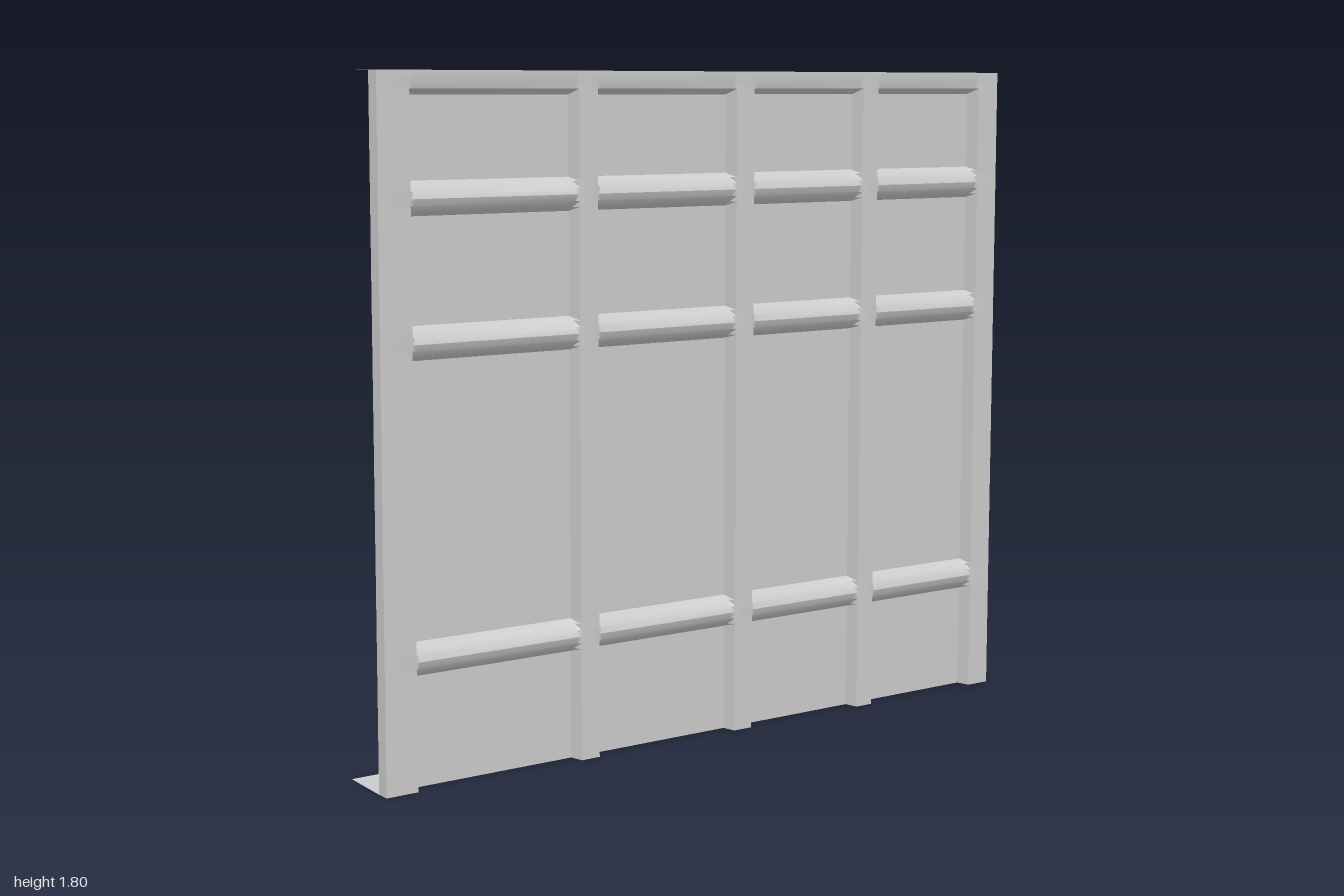
import * as THREE from 'three';
import { toCreasedNormals } from 'three/addons/utils/BufferGeometryUtils.js';

const H = 1.8, BACK = 0.056, FRONT = 0.094;

// Bars as [start, end] across x (posts) and y (rails)
const posts = [[-0.99, -0.89], [-0.43, -0.355], [0.06, 0.137], [0.487, 0.56], [0.908, 0.99]];
const rails = [[0.29, 0.378], [1.088, 1.175], [1.445, 1.532]];

// Profile lists of [position, raised fraction]
function postProfile() {
  const list = [];
  posts.forEach(([a, b], i) => {
    const left = i === 0 ? 0.002 : 0.01;
    const right = i === posts.length - 1 ? 0.002 : 0.01;
    list.push([a, 0], [a + left, 1], [b - right, 1], [b, 0]);
  });
  return list;
}

function railProfile() {
  const dome = [[0, 0], [0.12, 0.45], [0.3, 0.85], [0.5, 1], [0.7, 0.85], [0.88, 0.45], [1, 0]];
  const list = [[0, 0]];
  for (const [a, b] of rails) for (const [t, h] of dome) list.push([a + (b - a) * t, h]);
  list.push([1.74, 0], [1.755, 0.85], [1.775, 1], [H, 1]);
  return list;
}

// The wall leans out slightly toward its lower left corner
const lean = (x, y) => x - 0.01 * (1 - y / H) * (1 - x) / 2;

// One pressed sheet: raised posts and rails around recessed panels
function pressedSheet() {
  const xs = postProfile(), ys = railProfile();
  const pos = [], index = [], level = [];
  for (const [y, hy] of ys) {
    xs.forEach(([x, hx], i) => {
      const outer = i === 0 || i === xs.length - 1;
      const h = outer ? 0 : Math.max(hx, hy);
      level.push(h);
      pos.push(lean(x, y), y, BACK + (FRONT - BACK) * h);
    });
  }
  const n = xs.length;
  for (let j = 0; j < ys.length - 1; j++) {
    for (let i = 0; i < n - 1; i++) {
      const a = j * n + i, b = a + 1, c = b + n, d = a + n;
      // Crease each cell through its lowest corner so inner corners mitre
      if (Math.min(level[a], level[c]) <= Math.min(level[b], level[d])) index.push(a, b, c, a, c, d);
      else index.push(a, b, d, b, c, d);
    }
  }
  const geo = new THREE.BufferGeometry();
  geo.setAttribute('position', new THREE.Float32BufferAttribute(pos, 3));
  geo.setIndex(index);
  return toCreasedNormals(geo, 0.6);
}

// Flat flange from its four [x, z] corners
function flange(corners, y) {
  const shape = new THREE.Shape(corners.map(([x, z]) => new THREE.Vector2(x, -z)));
  return new THREE.ShapeGeometry(shape).rotateX(-Math.PI / 2).translate(0, y, 0);
}

export function createModel() {
  const group = new THREE.Group();
  group.name = 'wallPanel';
  const material = new THREE.MeshStandardMaterial({ color: 0xcccccc, side: THREE.DoubleSide });
  const add = (name, geo) => {
    const mesh = new THREE.Mesh(geo, material);
    mesh.name = name;
    group.add(mesh);
  };
  add('pressedSheet', pressedSheet());
  add('topFlange', flange([[-0.99, FRONT], [0.99, FRONT], [1, -0.065], [-0.99, -0.065]], H));
  add('bottomFlange', flange([[-1, BACK], [0.99, BACK], [1, -0.1], [-1, -0.1]], 0));
  return group;
}
